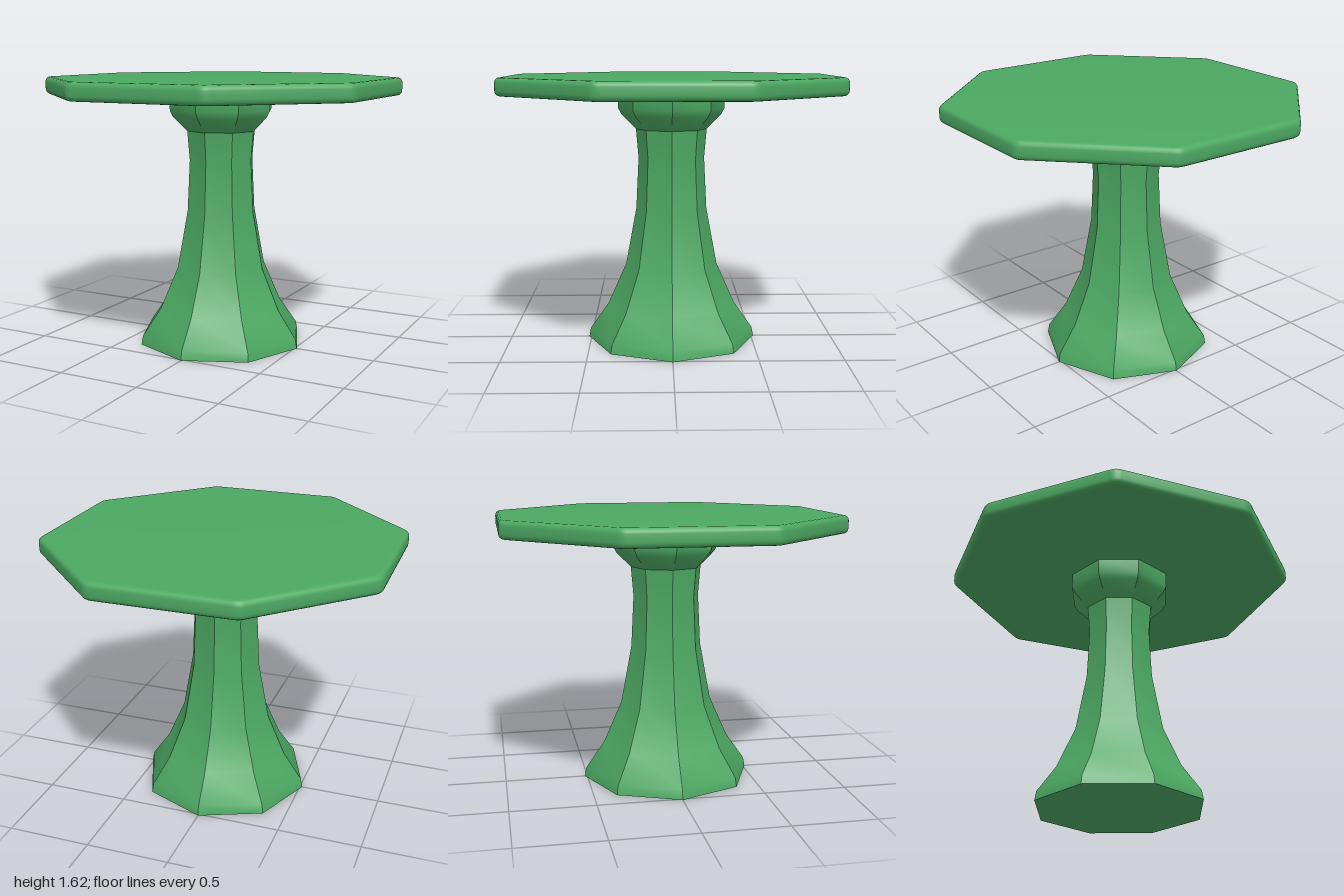
import * as THREE from 'three';
import { toCreasedNormals } from 'three/addons/utils/BufferGeometryUtils.js';

const green = new THREE.MeshStandardMaterial({ color: 0x4ca862 });
green.name = 'green';

function part(name, geometry, crease) {
  const mesh = new THREE.Mesh(toCreasedNormals(geometry, crease), green);
  mesh.name = name;
  return mesh;
}

// Eight-sided turned solid with its corners on the x and z axes
function octagonalLathe(profile) {
  return new THREE.LatheGeometry(profile.map(([r, y]) => new THREE.Vector2(r, y)), 8);
}

// Octagon with flat sides at distance 1 and softened corners
function topOutline() {
  const shape = new THREE.Shape();
  const radius = 1 / Math.cos(Math.PI / 8);
  const corners = Array.from({ length: 8 }, (_, i) => {
    const a = Math.PI / 8 + (i * Math.PI) / 4;
    return new THREE.Vector2(radius * Math.cos(a), radius * Math.sin(a));
  });
  corners.forEach((c, i) => {
    const before = c.clone().lerp(corners[(i + 7) % 8], 0.04);
    const after = c.clone().lerp(corners[(i + 1) % 8], 0.04);
    if (i === 0) shape.moveTo(before.x, before.y);
    else shape.lineTo(before.x, before.y);
    shape.quadraticCurveTo(c.x, c.y, after.x, after.y);
  });
  shape.closePath();
  return shape;
}

export function createModel() {
  const table = new THREE.Group();
  table.name = 'pedestalTable';

  // Flared pedestal, closed at the floor
  table.add(part('pedestal', octagonalLathe([
    [0, 0], [0.515, 0], [0.505, 0.055], [0.39, 0.22], [0.28, 0.47],
    [0.215, 0.82], [0.2, 1.13], [0.215, 1.305],
  ]), 0.56));

  // Collar under the top
  table.add(part('collar', octagonalLathe([
    [0.215, 1.305], [0.302, 1.392], [0.322, 1.43], [0.322, 1.53],
  ]), 0.56));

  // Table top with rounded rim
  const bevel = 0.03;
  const top = new THREE.ExtrudeGeometry(topOutline(), {
    depth: 0.105 - 2 * bevel,
    bevelThickness: bevel,
    bevelSize: bevel,
    bevelOffset: -bevel,
    bevelSegments: 4,
    curveSegments: 4,
  });
  top.rotateX(-Math.PI / 2).translate(0, 1.52 + bevel, 0);
  table.add(part('tableTop', top, 0.7));

  return table;
}
